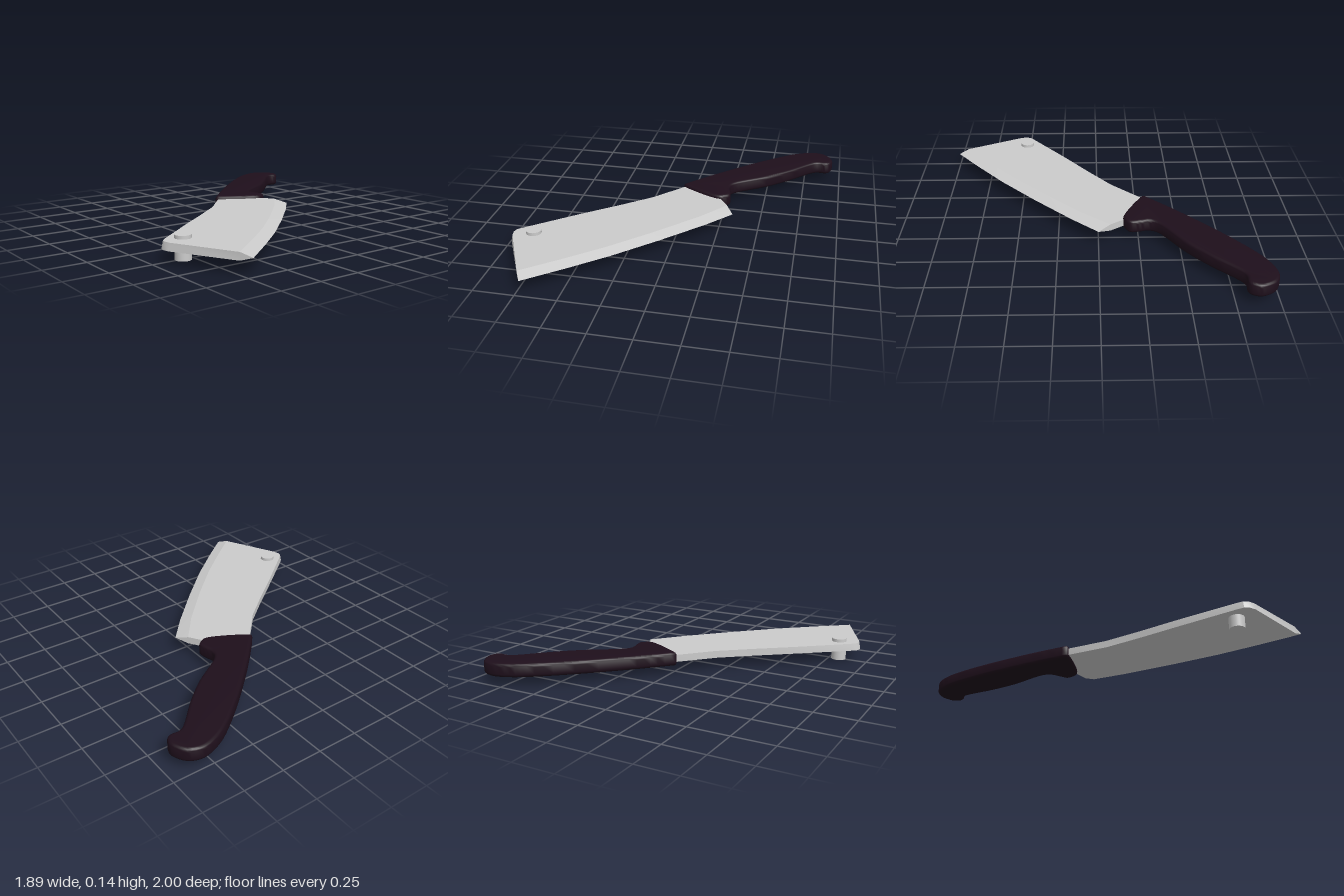
import * as THREE from 'three';
import { toCreasedNormals } from 'three/addons/utils/BufferGeometryUtils.js';

const BLADE_BOTTOM = 0.075, BLADE_TOP = 0.12, BLADE_MID = 0.0975;

// Points are [x, z] seen from above; extruded shapes are laid flat, so shape y = -z
const toVectors = (points) => points.map(([x, z]) => new THREE.Vector2(x, -z));

function layFlat(shape, bottom, top, bevel = 0) {
  const geometry = new THREE.ExtrudeGeometry(shape, {
    depth: top - bottom - 2 * bevel,
    bevelEnabled: bevel > 0,
    bevelSize: bevel, bevelThickness: bevel, bevelOffset: -bevel, bevelSegments: 4,
  });
  return geometry.rotateX(-Math.PI / 2).translate(0, bottom + bevel, 0);
}

// Cutting edge and the line where the grind starts, tip to heel
const edge = [[-0.715, 0.995], [-0.5, 0.82], [-0.29, 0.64], [-0.05, 0.41], [0.19, 0.165], [0.335, 0]];
const grind = [[-0.75, 0.93], [-0.54, 0.76], [-0.335, 0.585], [-0.1, 0.36], [0.14, 0.11], [0.287, -0.073]];

// Flat body of the blade: spine, rounded tip corner, then along the grind line
function bladeBody() {
  const outline = [[0.2, -0.205], [0, -0.3], [-0.03, -0.285], [-0.21, -0.09], [-0.4, 0.065], [-0.6, 0.22],
    [-0.91, 0.465], [-0.937, 0.49], [-0.946, 0.52], [-0.938, 0.56], ...grind];
  const geometry = layFlat(new THREE.Shape(toVectors(outline)), BLADE_BOTTOM, BLADE_TOP);
  // The rounded corner leans in slightly towards the top
  const pos = geometry.attributes.position;
  for (let i = 0; i < pos.count; i++) {
    if (pos.getX(i) < -0.9 && pos.getY(i) > BLADE_MID) pos.setX(i, pos.getX(i) + 0.01);
  }
  return toCreasedNormals(geometry, 0.5);
}

// Wedge from the grind line to the sharp edge, with both ends closed
function bladeGrind() {
  const positions = [];
  const index = [];
  edge.forEach(([x, z], i) => {
    const [gx, gz] = grind[i];
    positions.push(gx, BLADE_TOP, gz, x, BLADE_MID, z, gx, BLADE_BOTTOM, gz);
  });
  for (let i = 0; i < edge.length - 1; i++) {
    const a = i * 3, b = a + 3;
    index.push(a, a + 1, b + 1, a, b + 1, b);
    index.push(a + 1, a + 2, b + 2, a + 1, b + 2, b + 1);
  }
  const last = (edge.length - 1) * 3;
  index.push(0, 2, 1, last, last + 1, last + 2);
  const geometry = new THREE.BufferGeometry();
  geometry.setAttribute('position', new THREE.Float32BufferAttribute(positions, 3));
  geometry.setIndex(index);
  return toCreasedNormals(geometry, 0.4);
}

// Curved grip with a finger guard and a hooked butt
function handleGeometry() {
  const contour = [[-0.037, -0.305], [0.07, -0.42], [0.2, -0.552], [0.4, -0.74], [0.58, -0.89], [0.7, -0.967],
    [0.81, -1], [0.895, -0.97], [0.94, -0.89], [0.926, -0.832], [0.895, -0.81], [0.835, -0.81],
    [0.775, -0.765], [0.65, -0.635], [0.5, -0.505], [0.32, -0.385], [0.274, -0.32], [0.284, -0.255],
    [0.29, -0.2], [0.252, -0.165], [0.205, -0.157], [0.1, -0.203], [-0.025, -0.278]];
  const curve = new THREE.SplineCurve(toVectors([...contour, contour[0]]));
  const shape = new THREE.Shape(curve.getPoints(92).slice(0, -1));
  return toCreasedNormals(layFlat(shape, 0.055, 0.14, 0.02), 0.7);
}

export function createModel() {
  const model = new THREE.Group();
  model.name = 'cleaver';
  const steel = new THREE.MeshStandardMaterial({ color: 0xcccccc });
  const grip = new THREE.MeshStandardMaterial({ color: 0x1e0f1b });

  const add = (name, geometry, material, parent = model) => {
    const mesh = new THREE.Mesh(geometry, material);
    mesh.name = name;
    parent.add(mesh);
    return mesh;
  };

  const blade = new THREE.Group();
  blade.name = 'blade';
  model.add(blade);
  add('bladeBody', bladeBody(), steel, blade);
  add('cuttingEdge', bladeGrind(), steel, blade);

  // Pin through the corner of the blade
  add('hangingPin', new THREE.CylinderGeometry(0.047, 0.047, 0.14, 32), steel).position.set(-0.812, 0.07, 0.505);

  add('handle', handleGeometry(), grip);
  return model;
}
